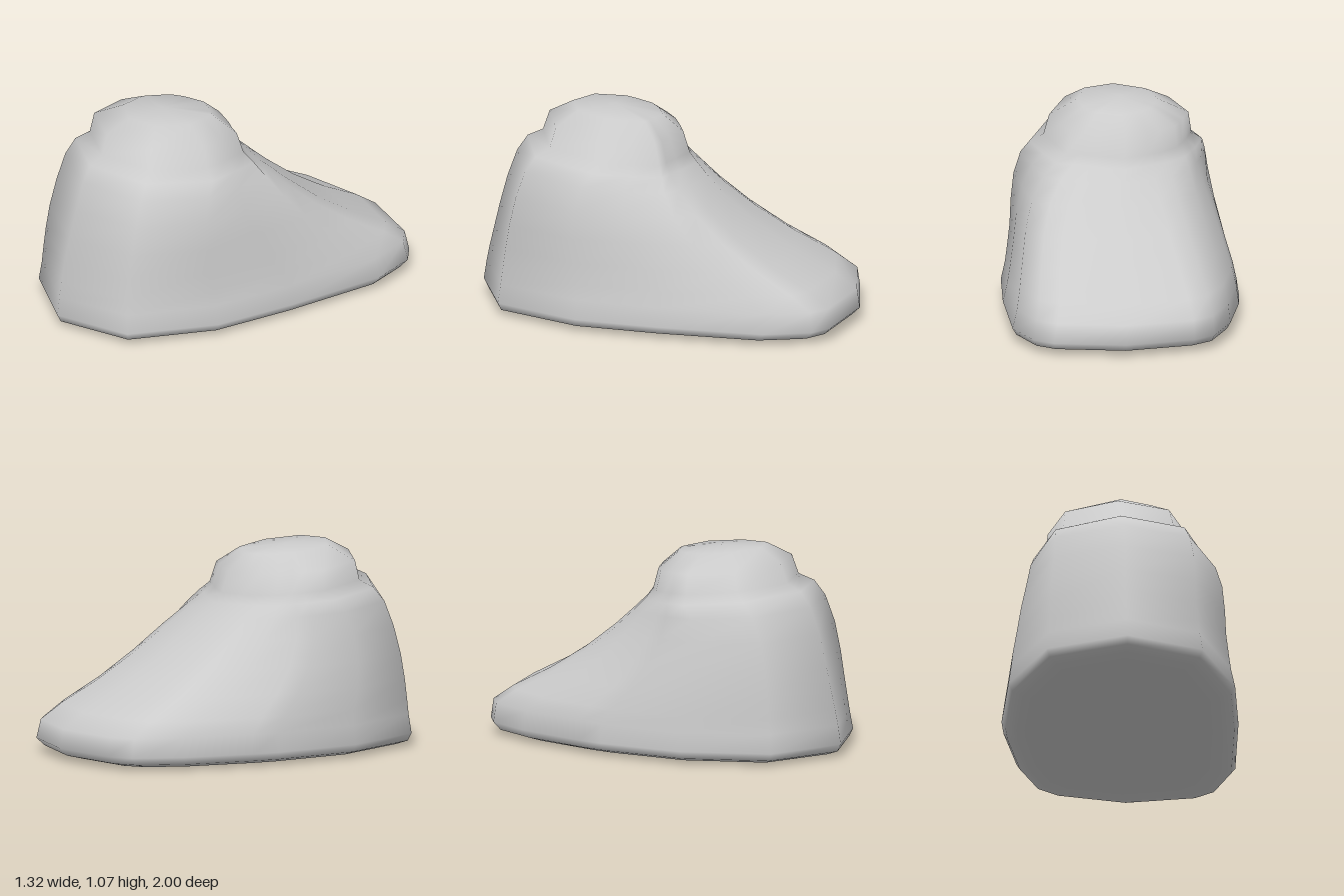
import * as THREE from 'three';

// Outline of the sole and of the ankle collar, point for point [x, z], heel first
const SOLE = [[-0.13, 1], [0.28, 0.88], [0.51, 0.45], [0.59, 0], [0.65, -0.55], [0.59, -0.8], [0.5, -0.89],
  [0.14, -1], [-0.23, -0.96], [-0.35, -0.89], [-0.48, -0.66], [-0.6, -0.29], [-0.63, -0.15], [-0.66, 0.32], [-0.52, 0.78]];
const COLLAR = [[-0.13, 0.69], [0.16, 0.62], [0.3, 0.34], [0.27, 0.17], [0.24, 0.03], [0.17, 0], [0.1, -0.04],
  [-0.04, -0.1], [-0.17, -0.06], [-0.25, -0.03], [-0.34, 0.03], [-0.38, 0.1], [-0.41, 0.15], [-0.46, 0.26], [-0.4, 0.53]];

// Cross-sections: height, zMin, zMax, xMin, xMax, blend from sole to collar, tilt
const RINGS = [
  [0.004, -0.8, 0.86, -0.54, 0.5, 0, 0],
  [0.01, -0.88, 0.92, -0.58, 0.55, 0, 0],
  [0.03, -0.96, 0.98, -0.64, 0.63, 0, 0],
  [0.07, -1, 1, -0.66, 0.655, 0, 0],
  [0.17, -0.985, 0.985, -0.645, 0.63, 0, 0],
  [0.25, -0.87, 0.97, -0.637, 0.6, 0.1, 0],
  [0.36, -0.66, 0.945, -0.62, 0.555, 0.25, 0],
  [0.49, -0.46, 0.915, -0.6, 0.51, 0.45, 0],
  [0.63, -0.3, 0.875, -0.57, 0.455, 0.65, 0.02],
  [0.75, -0.19, 0.825, -0.545, 0.415, 0.85, 0.06],
  [0.82, -0.13, 0.77, -0.52, 0.38, 1, 0.09],
  [0.865, -0.09, 0.69, -0.46, 0.31, 1, 0.09],
  [0.97, -0.055, 0.655, -0.445, 0.28, 1, 0.09],
  [1.05, 0.05, 0.53, -0.28, 0.14, 1, 0.09],
];

// Blend the outlines and stretch the result to the section's limits
function section([y, z0, z1, x0, x1, t, tilt]) {
  const pts = SOLE.map((p, i) => p.map((v, k) => THREE.MathUtils.lerp(v, COLLAR[i][k], t)));
  const fit = (k, lo, hi) => {
    const v = pts.map((p) => p[k]);
    const a = Math.min(...v), b = Math.max(...v);
    return v.map((n) => THREE.MathUtils.mapLinear(n, a, b, lo, hi));
  };
  const xs = fit(0, x0, x1), zs = fit(1, z0, z1);
  return xs.map((x, i) => [x, y + tilt * (zs[i] - 0.3), zs[i]]);
}

function footGeometry() {
  const n = SOLE.length, last = RINGS.length - 1;
  const points = RINGS.flatMap(section);
  const bottom = points.push([-0.02, 0, 0]) - 1;
  const top = points.push([-0.09, 1.065, 0.3]) - 1;
  const index = [];
  for (let j = 0; j < n; j++) {
    const k = (j + 1) % n;
    for (let i = 0; i < last; i++) {
      const a = i * n + j, b = i * n + k;
      index.push(a, b, b + n, a, b + n, a + n);
    }
    index.push(k, j, bottom, last * n + j, last * n + k, top);
  }
  const g = new THREE.BufferGeometry();
  g.setAttribute('position', new THREE.Float32BufferAttribute(points.flat(), 3));
  g.setIndex(index);
  g.computeVertexNormals();
  return g;
}

export function createModel() {
  const group = new THREE.Group();
  group.name = 'foot';
  const mesh = new THREE.Mesh(footGeometry(), new THREE.MeshStandardMaterial({ color: 0xcccccc }));
  mesh.name = 'footAndAnkle';
  group.add(mesh);
  return group;
}
